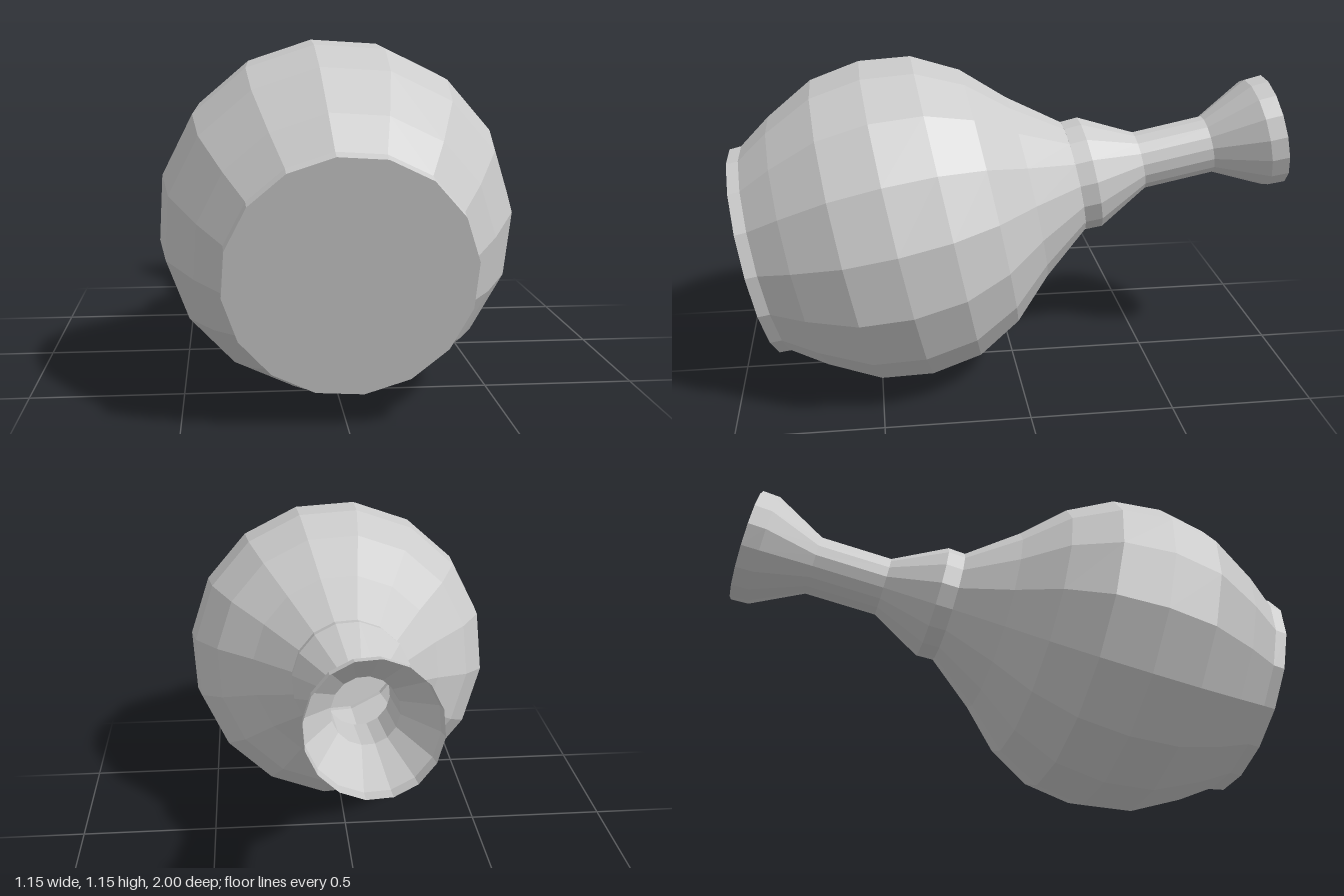
import * as THREE from 'three';

const SIDES = 16;
const TWIST = THREE.MathUtils.degToRad(-7.6);
const TILT = THREE.MathUtils.degToRad(11.5);

const material = new THREE.MeshStandardMaterial({
  color: 0xcccccc, flatShading: true, side: THREE.DoubleSide,
});

// Turns a [radius, height] profile into a faceted part
function turned(name, profile) {
  const points = profile.map(([r, h]) => new THREE.Vector2(r, h));
  const mesh = new THREE.Mesh(new THREE.LatheGeometry(points, SIDES, TWIST), material);
  mesh.name = name;
  return mesh;
}

export function createModel() {
  const flask = new THREE.Group();
  flask.name = 'flask';

  // Closed flat foot with a short upright lip
  flask.add(turned('foot', [[0, 0], [0.378, 0], [0.38, 0.042]]));

  // Round belly narrowing to the shoulder
  flask.add(turned('belly', [
    [0.38, 0.042], [0.46, 0.16], [0.552, 0.335], [0.579, 0.515], [0.555, 0.695],
    [0.47, 0.853], [0.337, 0.993], [0.203, 1.168],
  ]));

  // Collar tapering into the straight neck
  flask.add(turned('collar', [[0.204, 1.168], [0.206, 1.23], [0.106, 1.418]]));
  flask.add(turned('neck', [[0.106, 1.418], [0.106, 1.678]]));

  // Open funnel mouth with an upright rim
  flask.add(turned('mouth', [[0.106, 1.678], [0.2, 1.861], [0.203, 1.924]]));

  // Lies on its belly, foot to the front and mouth raised at the back
  flask.rotation.x = TILT - Math.PI / 2;
  flask.position.set(0, 0.475, 0.925);

  const model = new THREE.Group();
  model.name = 'lyingFlask';
  model.add(flask);
  return model;
}
